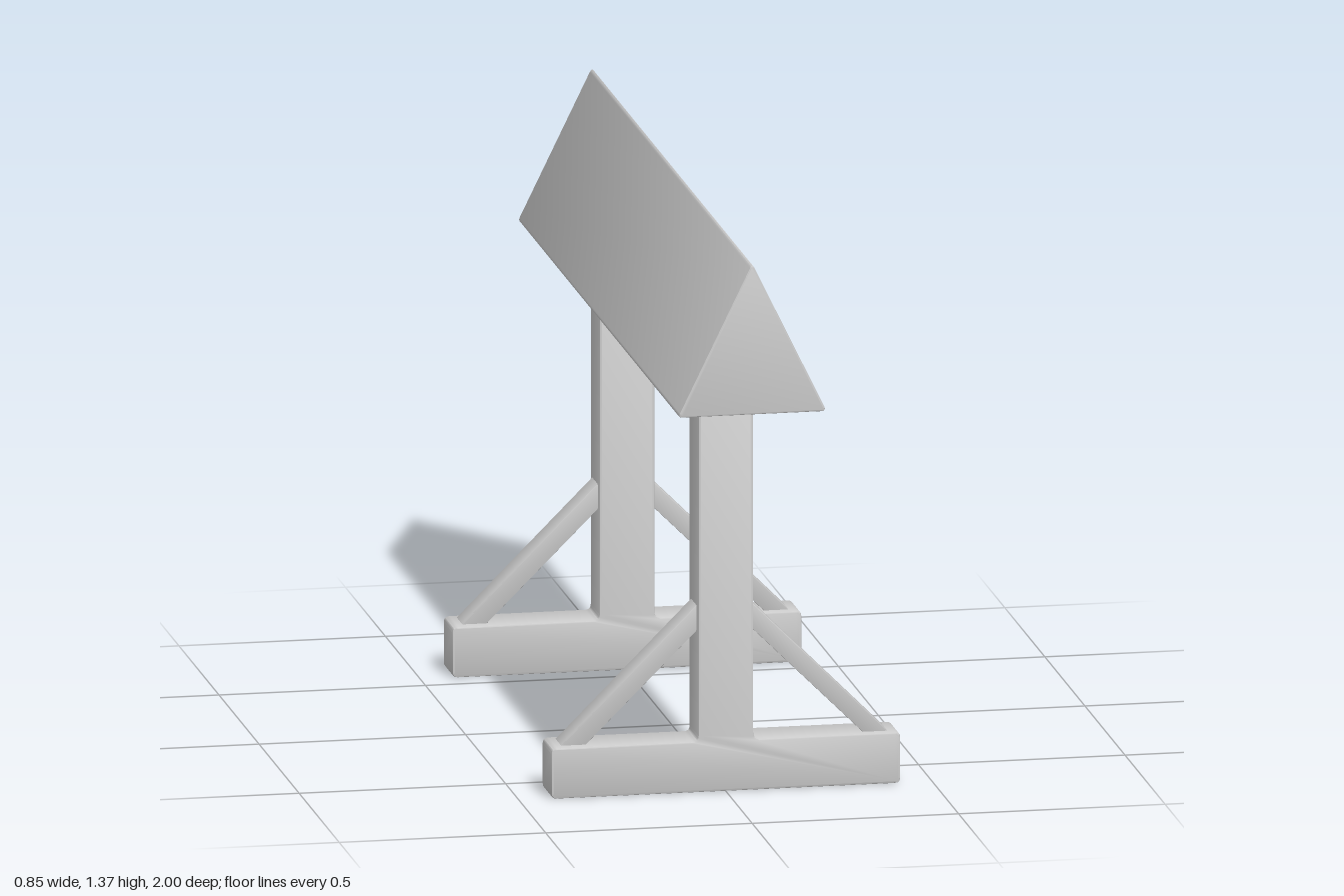
import * as THREE from 'three';
import { toCreasedNormals } from 'three/addons/utils/BufferGeometryUtils.js';

const material = new THREE.MeshStandardMaterial({ color: 0xcccccc });

// Closed outline whose corners are each cut back by r and rounded off.
function roundedShape(points, r) {
  const pts = points.map(([x, y]) => new THREE.Vector2(x, y));
  const shape = new THREE.Shape();
  pts.forEach((p, i) => {
    const prev = pts[(i + pts.length - 1) % pts.length];
    const next = pts[(i + 1) % pts.length];
    const a = p.clone().add(prev.clone().sub(p).setLength(r));
    const b = p.clone().add(next.clone().sub(p).setLength(r));
    if (i === 0) shape.moveTo(a.x, a.y);
    else shape.lineTo(a.x, a.y);
    shape.quadraticCurveTo(p.x, p.y, b.x, b.y);
  });
  shape.closePath();
  return shape;
}

// Slab of the given total depth, centred on z = 0, with softened end edges.
function slab(name, points, depth, r, bevel) {
  const geometry = new THREE.ExtrudeGeometry(roundedShape(points, r), {
    depth: depth - 2 * bevel, curveSegments: 4,
    bevelThickness: bevel, bevelSize: bevel, bevelOffset: -bevel, bevelSegments: 2,
  });
  geometry.translate(0, 0, bevel - depth / 2);
  const mesh = new THREE.Mesh(toCreasedNormals(geometry, 0.6), material);
  mesh.name = name;
  return mesh;
}

// Upright post on a wide foot, with a diagonal brace on each side.
function createTrestle(name) {
  const trestle = new THREE.Group();
  trestle.name = name;
  trestle.add(slab('postAndFoot', [
    [-0.423, 0], [0.423, 0], [0.423, 0.125], [0.067, 0.125],
    [0.067, 1.01], [-0.067, 1.01], [-0.067, 0.125], [-0.423, 0.125],
  ], 0.113, 0.014, 0.005));
  for (const s of [1, -1]) {
    const outline = [[0.064, 0.394], [0.338, 0.122], [0.398, 0.122], [0.064, 0.456]]
      .map(([x, y]) => [s * x, y]);
    if (s < 0) outline.reverse();
    trestle.add(slab(s > 0 ? 'leftBrace' : 'rightBrace', outline, 0.072, 0.005, 0.002));
  }
  return trestle;
}

export function createModel() {
  const model = new THREE.Group();
  model.name = 'trestleBeam';

  // Triangular beam running front to back
  model.add(slab('beam', [[-0.181, 1.0], [0.181, 1.0], [0, 1.371]], 2, 0.013, 0.004));

  // Supports
  for (const [name, z] of [['frontTrestle', 0.617], ['backTrestle', -0.617]]) {
    const trestle = createTrestle(name);
    trestle.position.z = z;
    model.add(trestle);
  }
  return model;
}
